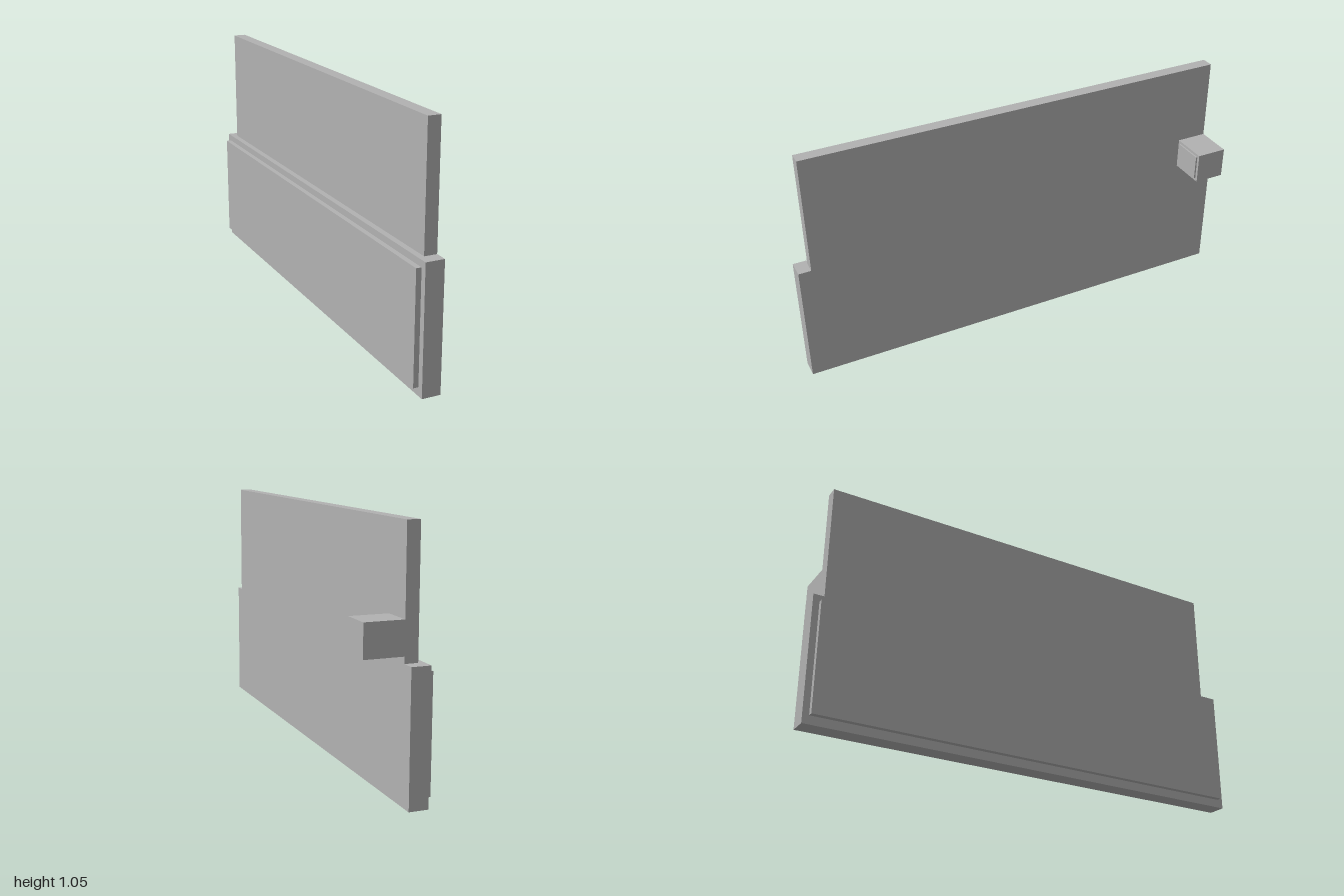
import * as THREE from 'three';

export function createModel() {
  const model = new THREE.Group();
  model.name = 'doorPanel';
  const grey = new THREE.MeshStandardMaterial({ color: 0xb2b2b2 });
  grey.name = 'plain grey';

  // Box given by its extents along each axis
  const slab = (name, [x0, x1], [y0, y1], [z0, z1], parent = model) => {
    const mesh = new THREE.Mesh(new THREE.BoxGeometry(x1 - x0, y1 - y0, z1 - z0), grey);
    mesh.position.set((x0 + x1) / 2, (y0 + y1) / 2, (z0 + z1) / 2);
    mesh.name = name;
    parent.add(mesh);
  };

  // Door: thick lower half, thinner and shorter upper half, raised inner trim
  slab('lowerPanel', [-0.111, -0.032], [0, 0.535], [-1, 1]);
  slab('upperPanel', [-0.086, -0.032], [0.535, 1.048], [-0.946, 0.946]);
  slab('innerTrim', [-0.133, -0.111], [0.036, 0.507], [-0.973, 0.973]);

  // Side mirror with a slightly raised glass on its front
  const mirror = new THREE.Group();
  mirror.name = 'sideMirror';
  model.add(mirror);
  slab('mirrorHousing', [-0.032, 0.13], [0.562, 0.696], [-0.946, -0.812], mirror);
  slab('mirrorGlass', [-0.017, 0.117], [0.576, 0.684], [-0.812, -0.805], mirror);

  return model;
}
